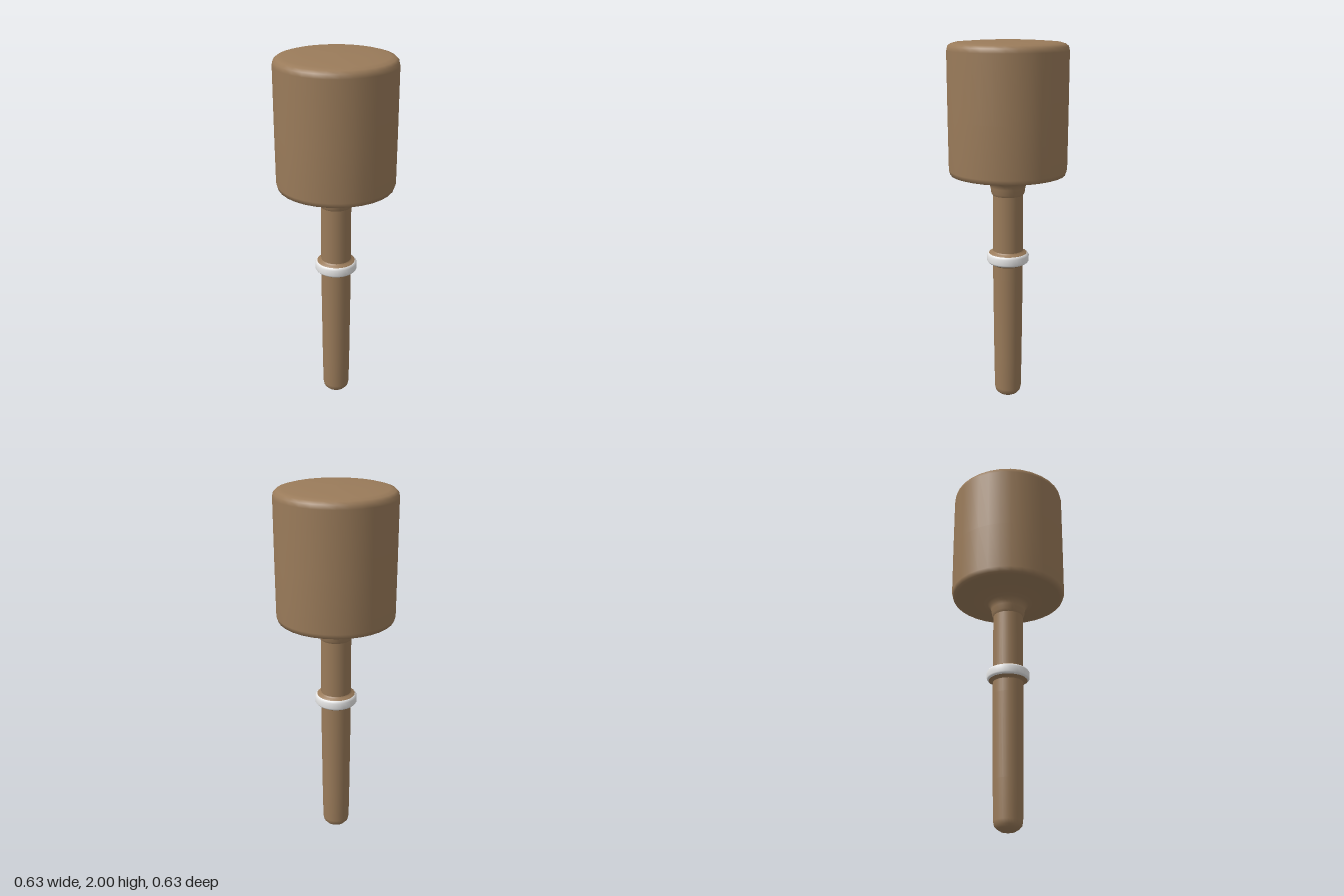
import * as THREE from 'three';

export function createModel() {
  const group = new THREE.Group();
  const wood = new THREE.MeshStandardMaterial({ color: 0x9a7b5a });
  wood.name = 'brown wood';
  const white = new THREE.MeshStandardMaterial({ color: 0xe8e8e8 });
  white.name = 'white band';

  // Turned part from [radius, height] pairs, listed bottom to top
  const turn = (name, profile, material) => {
    const points = profile.map(([r, y]) => new THREE.Vector2(r, y));
    const mesh = new THREE.Mesh(new THREE.LatheGeometry(points, 32), material);
    mesh.name = name;
    group.add(mesh);
  };

  // Slightly tapered handle with a rounded butt
  turn('handle', [
    [0, 0], [0.035, 0.004], [0.058, 0.018], [0.07, 0.032], [0.075, 0.055],
    [0.078, 0.26], [0.082, 0.72], [0.082, 1.19],
  ], wood);

  // Raised collar around the grip
  turn('collar', [
    [0.08, 0.785], [0.083, 0.796], [0.095, 0.801], [0.108, 0.81], [0.113, 0.818],
    [0.113, 0.848], [0.107, 0.859], [0.092, 0.867], [0.083, 0.872], [0.08, 0.88],
  ], wood);

  // Painted band on the rim of the collar
  turn('collarBand', [
    [0.104, 0.805], [0.11, 0.81], [0.115, 0.817], [0.115, 0.849], [0.108, 0.86], [0.104, 0.861],
  ], white);

  // Head with flared neck, shallow underside and domed top
  turn('head', [
    [0.081, 1.185], [0.09, 1.2], [0.094, 1.23], [0.101, 1.25], [0.115, 1.265],
    [0.15, 1.278], [0.22, 1.29], [0.29, 1.3], [0.308, 1.305], [0.316, 1.33],
    [0.317, 1.6], [0.317, 1.945], [0.312, 1.967], [0.298, 1.98], [0.27, 1.988],
    [0.18, 1.994], [0.09, 1.998], [0, 2],
  ], wood);

  return group;
}
